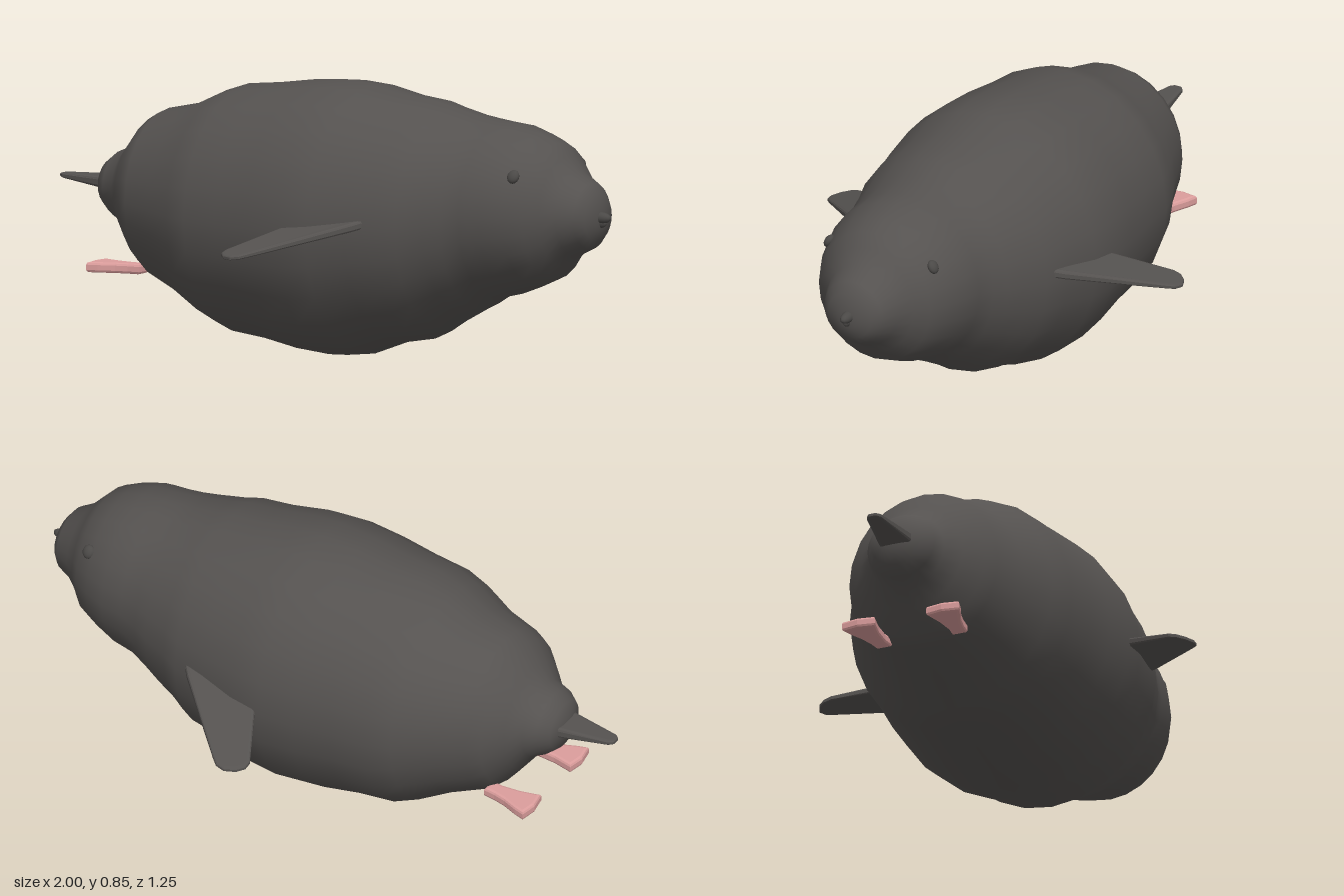
import * as THREE from 'three';

const mat = (name, color) => new THREE.MeshStandardMaterial({ name, color });

export function createModel() {
  const group = new THREE.Group();
  const plumage = mat('charcoal plumage', 0x555250);
  const dark = mat('dark grey', 0x4b4947);
  const pink = mat('pink feet', 0xdb9d9c);

  const add = (name, geometry, material) => {
    const mesh = new THREE.Mesh(geometry, material);
    mesh.name = name;
    group.add(mesh);
    return mesh;
  };

  // Body: rings along x, each [x, top, bottom, half width]
  const rings = [
    [-0.83, 0.475, 0.465, 0.005], [-0.828, 0.50, 0.44, 0.04], [-0.815, 0.545, 0.395, 0.085],
    [-0.78, 0.572, 0.365, 0.112], [-0.74, 0.588, 0.343, 0.125], [-0.70, 0.632, 0.29, 0.17],
    [-0.65, 0.69, 0.225, 0.222], [-0.61, 0.714, 0.19, 0.247], [-0.5, 0.738, 0.142, 0.288],
    [-0.4, 0.785, 0.085, 0.338], [-0.32, 0.812, 0.05, 0.364], [-0.2, 0.825, 0.037, 0.373],
    [-0.08, 0.843, 0.015, 0.388], [0.04, 0.852, 0.005, 0.397], [0.14, 0.845, 0.017, 0.39],
    [0.26, 0.822, 0.062, 0.362], [0.36, 0.812, 0.08, 0.346], [0.42, 0.797, 0.118, 0.317],
    [0.5, 0.78, 0.162, 0.292], [0.55, 0.774, 0.187, 0.27], [0.61, 0.767, 0.226, 0.256],
    [0.68, 0.761, 0.243, 0.25], [0.75, 0.74, 0.27, 0.225], [0.805, 0.715, 0.295, 0.197],
    [0.84, 0.677, 0.338, 0.16], [0.88, 0.632, 0.373, 0.126], [0.93, 0.602, 0.398, 0.103],
    [0.953, 0.57, 0.425, 0.076], [0.964, 0.53, 0.46, 0.035], [0.965, 0.497, 0.487, 0.005],
  ];
  const sides = 24;
  const positions = [], index = [];
  rings.forEach(([x, top, bottom, w], i) => {
    for (let j = 0; j < sides; j++) {
      const t = (j / sides) * Math.PI * 2;
      positions.push(x, (top + bottom) / 2 + ((top - bottom) / 2) * Math.cos(t), w * Math.sin(t));
      if (i === rings.length - 1) continue;
      const a = i * sides + j, b = i * sides + ((j + 1) % sides);
      index.push(a, b, a + sides, b, b + sides, a + sides);
    }
  });
  const body = new THREE.BufferGeometry();
  body.setAttribute('position', new THREE.Float32BufferAttribute(positions, 3));
  body.setIndex(index);
  body.computeVertexNormals();
  add('body', body, plumage);

  // Thin plate outlined in x and z; height and thickness follow rules of x and z
  const plate = (outline, side, height, thickness) => {
    const shape = new THREE.Shape(outline.map(([x, z]) => new THREE.Vector2(x, z * side)));
    const g = new THREE.ExtrudeGeometry(shape, {
      depth: 0.5, bevelEnabled: true, bevelThickness: 0.25, bevelSize: 0.01,
      bevelOffset: -0.01, bevelSegments: 2, curveSegments: 4,
    });
    g.rotateX(Math.PI / 2).translate(0, 0.25, 0);
    const p = g.attributes.position;
    for (let i = 0; i < p.count; i++) {
      const x = p.getX(i), z = Math.abs(p.getZ(i));
      p.setY(i, height(x, z) + p.getY(i) * thickness(x, z));
    }
    g.computeVertexNormals();
    return g;
  };

  const flipper = [[0.33, 0.28], [0.325, 0.345], [0.30, 0.375], [0.075, 0.595], [0.05, 0.617],
    [0.02, 0.623], [-0.015, 0.608], [-0.035, 0.585], [-0.036, 0.56], [0.05, 0.39], [0.08, 0.28]];
  const foot = [[-0.62, 0.10], [-0.66, 0.105], [-0.72, 0.10], [-0.785, 0.085], [-0.795, 0.14],
    [-0.785, 0.195], [-0.75, 0.185], [-0.70, 0.165], [-0.66, 0.155], [-0.62, 0.15]];
  for (const side of [1, -1]) {
    const label = side > 0 ? 'left' : 'right';
    add(label + 'Flipper', plate(flipper, side,
      (x, z) => 0.43 - 0.236 * (z - 0.39) + 0.095 * (x - 0.05),
      (x, z) => 0.028 - 0.055 * Math.max(0, z - 0.36)), plumage);
    add(label + 'Foot', plate(foot, side, () => 0.233, () => 0.032), pink);
    // Eye
    const eye = add(label + 'Eye', new THREE.SphereGeometry(0.02, 14, 10), dark);
    eye.scale.set(1, 1.1, 0.7);
    eye.position.set(0.765, 0.63, side * 0.184);
    eye.rotation.x = -side * 0.5;
  }

  // Tail
  const tail = [[-0.78, 0.06], [-0.83, 0.052], [-0.985, 0.024], [-1, 0.012],
    [-1, -0.012], [-0.985, -0.024], [-0.83, -0.052], [-0.78, -0.06]];
  add('tail', plate(tail, 1, (x) => 0.473 - 0.04 * (x + 0.83), (x) => 0.014 + 0.12 * (x + 1)), plumage);

  // Beak: round upper bill above a narrow lower one
  const upper = add('upperBeak', new THREE.SphereGeometry(0.02, 14, 10), dark);
  upper.scale.set(1.9, 0.9, 0.9);
  upper.position.set(0.962, 0.498, 0);
  const lower = add('lowerBeak', new THREE.SphereGeometry(0.016, 12, 8), dark);
  lower.scale.set(1.5, 1, 0.6);
  lower.position.set(0.962, 0.483, 0);
  return group;
}
